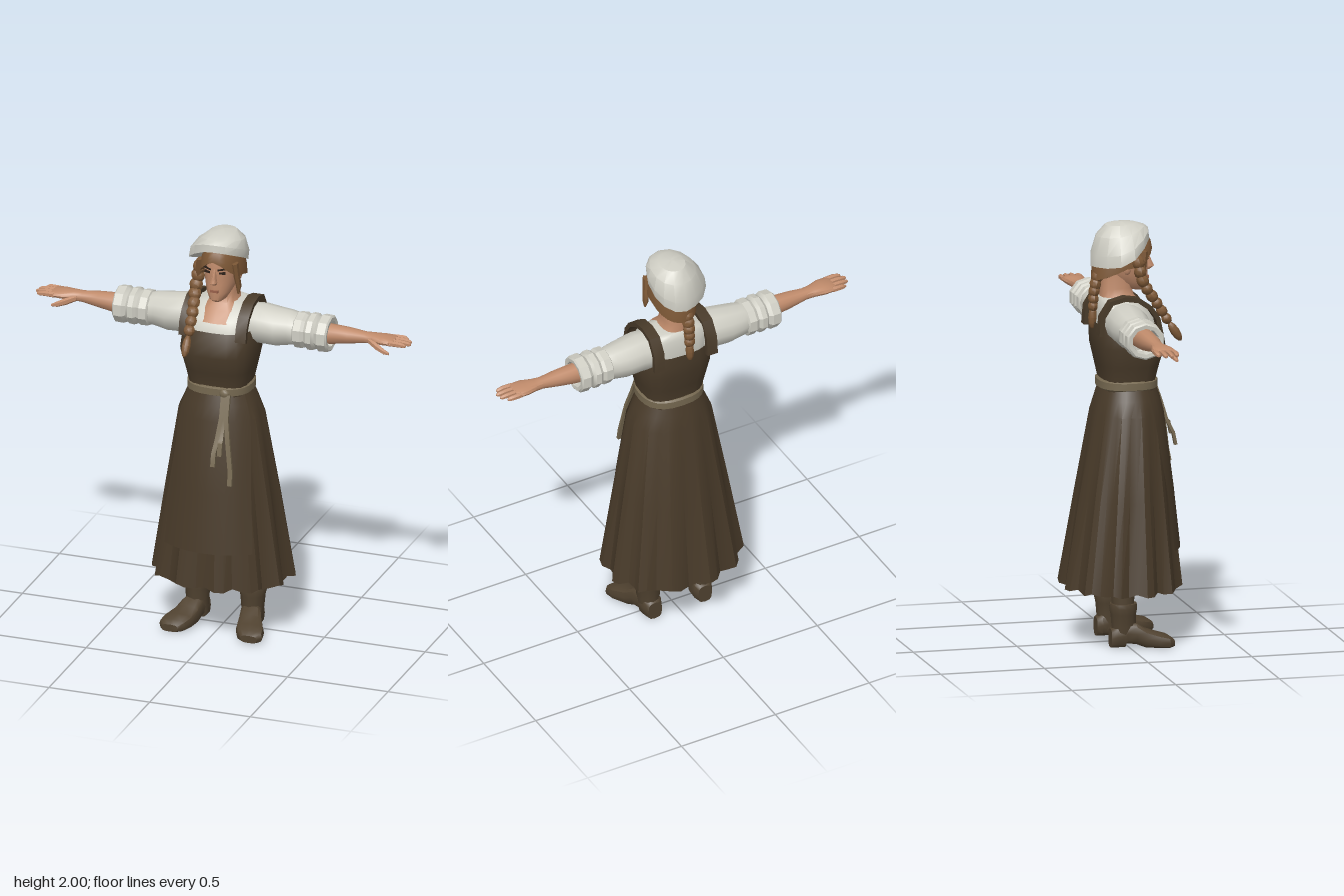
import * as THREE from 'three';
import { toCreasedNormals } from 'three/addons/utils/BufferGeometryUtils.js';

const mat = (name, color, side = THREE.FrontSide) => {
  const m = new THREE.MeshStandardMaterial({ color, side });
  m.name = name;
  return m;
};
const V = (x, y, z) => new THREE.Vector3(x, y, z);

// Skin a list of point rings; rings run counter-clockwise around the direction of travel
function skin(rings, caps = true, closed = true) {
  const n = rings[0].length, pos = [], idx = [];
  rings.flat().forEach(p => pos.push(p.x, p.y, p.z));
  for (let i = 0; i < rings.length - 1; i++)
    for (let j = 0; j < (closed ? n : n - 1); j++) {
      const a = i * n + j, b = i * n + (j + 1) % n;
      idx.push(a, b, b + n, a, b + n, a + n);
    }
  if (caps) [0, rings.length - 1].forEach((r, end) => {
    const c = rings[r].reduce((s, p) => s.add(p), V(0, 0, 0)).divideScalar(n);
    const k = pos.length / 3;
    pos.push(c.x, c.y, c.z);
    for (let j = 0; j < n; j++) {
      const a = r * n + j, b = r * n + (j + 1) % n;
      end ? idx.push(k, a, b) : idx.push(k, b, a);
    }
  });
  const g = new THREE.BufferGeometry();
  g.setAttribute('position', new THREE.Float32BufferAttribute(pos, 3));
  g.setIndex(idx);
  return g;
}

// Oval ring; p below 1 makes it squarer
const oval = (n, p, f) => Array.from({ length: n }, (_, j) => {
  const a = j / n * Math.PI * 2, q = v => Math.sign(v) * Math.abs(v) ** p;
  return f(q(Math.cos(a)), q(Math.sin(a)), j);
});
// Rows [y, halfWidth, frontZ, backZ, centreX], low to high
const loftY = (rows, n = 16, p = 1, caps = true, mod = v => v) =>
  skin(rows.map(([y, rx, zf, zb, cx = 0], i) => oval(n, p, (c, s, j) =>
    mod(V(cx + rx * s, y, (zf + zb) / 2 + (zf - zb) / 2 * c), i, j, c, s))), caps);
// Rows [x, centreY, centreZ, radiusY, radiusZ], inner to outer
const loftX = (rows, n = 12, p = 1, caps = true) =>
  skin(rows.map(([x, y, z, ry, rz]) => oval(n, p, (c, s) => V(x, y + ry * c, z + rz * s))), caps);
// Rows [z, centreX, halfWidth, topY, bottomY], back to front
const loftZ = (rows, n = 12, p = 0.65) =>
  skin(rows.map(([z, x, w, t, b]) => oval(n, p, (c, s) => V(x + w * c, (t + b) / 2 + (t - b) / 2 * s, z))));
// Flat band along a path, its width along x
function band(path, w, t) {
  const pts = path.map(p => V(...p));
  return skin(pts.map((p, i) => {
    const d = pts[Math.min(i + 1, pts.length - 1)].clone().sub(pts[Math.max(i - 1, 0)]).setX(0).normalize();
    const u = V(w / 2, 0, 0), v = V(0, d.z, -d.y).multiplyScalar(t / 2);
    return [[-1, -1], [1, -1], [1, 1], [-1, 1]].map(([a, b]) => p.clone().addScaledVector(u, a).addScaledVector(v, b));
  }));
}

export function createModel() {
  const model = new THREE.Group();
  const dress = mat('dress brown', 0x483a29, THREE.DoubleSide);
  const linen = mat('linen white', 0xcfcec4, THREE.DoubleSide);
  const flesh = mat('skin', 0xc08b6b);
  const hair = mat('hair brown', 0x7d5836, THREE.DoubleSide);
  const cord = mat('belt tan', 0x74674f);
  const leather = mat('boot leather', 0x504230);
  const dark = mat('eye dark', 0x2b2018);
  const lip = mat('lip', 0x99604a);

  const add = (name, geo, m, crease = 0.7, parent = model) => {
    const mesh = new THREE.Mesh(toCreasedNormals(geo, crease), m);
    mesh.name = name;
    parent.add(mesh);
    return mesh;
  };
  const pair = (name, geo, m, crease) => {
    const other = geo.clone().scale(-1, 1, 1);
    other.setIndex([...other.index.array].reverse());
    add(name + 'Left', geo, m, crease);
    add(name + 'Right', other, m, crease);
  };
  const ball = (x, y, z, rx, ry, rz) => new THREE.SphereGeometry(1, 10, 7).scale(rx, ry, rz).translate(x, y, z);

  // Pleated skirt and the ruffled underskirt inside it
  const skirtRows = [[0.27, 0.325, 0.265, -0.27], [0.7, 0.265, 0.225, -0.205], [1.1, 0.203, 0.185, -0.138],
    [1.17, 0.175, 0.17, -0.12], [1.24, 0.145, 0.15, -0.1]];
  const amount = [0.09, 0.055, 0.02, 0, 0], fold = [0, 1, 0.75, -0.2];
  const pleat = k => (v, i, j) => {
    const f = 1 + k * amount[i] * (fold[j % 4] - 0.35);
    return V(v.x * f, v.y + (i ? 0 : 0.012 * (j % 3 === 0)), v.z * f);
  };
  add('skirt', loftY(skirtRows, 48, 0.92, false, pleat(1)), dress, 0.4);
  add('underskirt', loftY([[0.3, 0.29, 0.235, -0.24], [0.7, 0.235, 0.2, -0.18]], 48, 1, false, pleat(1.8)), dress, 0.4);

  // Apron wrapped over the front of the skirt: [y, halfWidth, depth, half angle]
  const apron = [[0.46, 0.318, 0.274, 0.76], [0.75, 0.272, 0.244, 0.82], [1.1, 0.213, 0.2, 0.98], [1.17, 0.185, 0.182, 1], [1.24, 0.155, 0.158, 1]];
  add('apron', skin(apron.map(([y, rx, rz, a]) => Array.from({ length: 11 }, (_, j) => {
    const t = a * (j / 5 - 1);
    return V(rx * Math.sin(t), y, rz * Math.cos(t) ** 0.92);
  })), false, false), dress, 0.5);

  // Bodice with shoulder straps
  add('bodice', loftY([[1.2, 0.143, 0.152, -0.1], [1.26, 0.148, 0.155, -0.1], [1.33, 0.163, 0.172, -0.115],
    [1.42, 0.183, 0.2, -0.135], [1.48, 0.177, 0.19, -0.14], [1.535, 0.166, 0.166, -0.137]], 20, 0.68, false), dress);
  pair('strap', band([[0.14, 1.5, 0.15], [0.14, 1.56, 0.138], [0.14, 1.61, 0.105], [0.14, 1.652, 0.045],
    [0.14, 1.662, -0.02], [0.14, 1.645, -0.085], [0.14, 1.58, -0.127], [0.14, 1.49, -0.135]], 0.054, 0.022), dress);

  // Blouse body, sleeves and rolled cuffs
  add('blouse', loftY([[1.45, 0.16, 0.16, -0.12], [1.53, 0.158, 0.152, -0.126], [1.58, 0.16, 0.122, -0.124],
    [1.615, 0.155, 0.085, -0.118], [1.64, 0.125, 0.05, -0.11], [1.65, 0.085, 0.035, -0.1]], 20, 0.6), linen);
  pair('sleeve', loftX([[0.1, 1.54, -0.015, 0.095, 0.095], [0.2, 1.545, -0.015, 0.095, 0.1], [0.27, 1.538, -0.017, 0.092, 0.095],
    [0.33, 1.54, -0.02, 0.083, 0.085], [0.37, 1.538, -0.02, 0.076, 0.077]], 12, 1), linen);
  const roll = [[0.355, 0.07], [0.365, 0.086], [0.4, 0.087], [0.415, 0.078], [0.43, 0.09], [0.455, 0.088], [0.468, 0.077],
    [0.485, 0.09], [0.525, 0.088], [0.532, 0.08], [0.53, 0.062], [0.48, 0.056]];
  pair('cuff', loftX(roll.map(([x, r]) => [x, 1.537, -0.018, r, r * 1.06]), 10, 1, false), linen, 0.5);

  // Forearms, hands, fingers and thumbs
  pair('forearm', loftX([[0.4, 1.538, -0.015, 0.05, 0.05], [0.53, 1.54, -0.012, 0.047, 0.045], [0.62, 1.545, -0.012, 0.037, 0.04],
    [0.7, 1.548, -0.012, 0.026, 0.03], [0.74, 1.55, -0.012, 0.024, 0.036], [0.79, 1.552, -0.01, 0.021, 0.052],
    [0.84, 1.552, -0.01, 0.017, 0.054], [0.85, 1.552, -0.01, 0.011, 0.05]], 12, 0.85), flesh);
  [[-0.052, 0.9], [-0.024, 0.925], [0.004, 0.93], [0.031, 0.915]].forEach(([z, end], i) =>
    pair('finger' + (i + 1), loftX([[0.83, 1.552, z, 0.014, 0.0135], [0.88, 1.553, z * 1.05, 0.013, 0.013],
      [end - 0.01, 1.55, z, 0.011, 0.011], [end, 1.549, z, 0.005, 0.006]], 6), flesh));
  pair('thumb', loftX([[0.725, 1.545, 0.01, 0.016, 0.016], [0.77, 1.53, 0.036, 0.018, 0.016],
    [0.81, 1.515, 0.048, 0.014, 0.013], [0.838, 1.507, 0.05, 0.006, 0.007]], 6), flesh);

  // Neck, head and face
  add('neck', loftY([[1.57, 0.105, 0.136, -0.08], [1.62, 0.095, 0.094, -0.1], [1.65, 0.07, 0.062, -0.1],
    [1.69, 0.06, 0.05, -0.095], [1.78, 0.06, 0.05, -0.09]], 14, 0.75), flesh);
  add('head', loftY([[1.674, 0.022, 0.115, 0.06], [1.685, 0.04, 0.127, 0.015], [1.72, 0.06, 0.13, -0.04], [1.76, 0.071, 0.13, -0.08],
    [1.8, 0.077, 0.128, -0.1], [1.85, 0.081, 0.133, -0.11], [1.91, 0.076, 0.12, -0.11]], 16, 0.9), flesh);
  add('nose', loftY([[1.766, 0.011, 0.14, 0.11], [1.78, 0.017, 0.162, 0.11], [1.8, 0.011, 0.152, 0.11], [1.845, 0.008, 0.134, 0.11]], 8), flesh);
  add('mouth', new THREE.BoxGeometry(0.038, 0.011, 0.008).translate(0, 1.732, 0.129), lip);
  const plate = (w, h, y, z, tilt) => new THREE.BoxGeometry(w, h, 0.008).rotateZ(tilt).rotateY(0.3).translate(0.036, y, z);
  pair('eye', plate(0.03, 0.011, 1.826, 0.12, 0), dark);
  pair('eyebrow', plate(0.042, 0.008, 1.845, 0.122, 0.15), dark);
  pair('ear', ball(0.082, 1.79, 0.01, 0.012, 0.03, 0.02), flesh);

  // Parted hair: the lower edge drops from the forehead to the nape
  const heights = [0, 0, 0.25, 0.5, 0.75, 1];
  add('hair', skin(heights.map((t, i) => oval(24, 0.9, (c, s) => {
    const edge = c > 0 ? 1.885 - 0.095 * Math.abs(s) ** 1.6 : 1.79 + 0.06 * c;
    const r = i ? Math.max(0.05, Math.cos(t * Math.PI / 2)) ** 0.35 : 0.84;
    return V(0.104 * r * s, edge + (1.965 - edge) * t, 0.004 + 0.144 * r * c);
  }))), hair, 0.8);
  pair('lock', loftY([[1.715, 0.004, 0.082, 0.068, 0.1], [1.75, 0.012, 0.088, 0.05, 0.1], [1.8, 0.014, 0.1, 0.055, 0.094], [1.87, 0.014, 0.11, 0.06, 0.088]], 6), hair);

  // Braids: overlapping beads along a curve, ending in a pointed tuft
  const braid = (name, points, count, size) => {
    const group = new THREE.Group(), curve = new THREE.CatmullRomCurve3(points.map(p => V(...p)));
    group.name = name;
    for (let i = 0; i <= count; i++) {
      const t = i / count * 0.8, tuft = i === count;
      const r = size * (1 - 0.3 * t);
      const geo = tuft ? new THREE.SphereGeometry(1, 8, 6).scale(r * 0.8, 0.055, r * 0.8)
        : new THREE.SphereGeometry(1, 8, 6).scale(r, r * 1.05, r * 0.9).rotateZ(i % 2 ? 0.4 : -0.4);
      const bead = add(tuft ? 'braidTuft' : 'braidBead', geo, hair, 0.8, group);
      bead.position.copy(curve.getPointAt(tuft ? 0.87 : t));
      bead.quaternion.setFromUnitVectors(V(0, -1, 0), curve.getTangentAt(t));
    }
    model.add(group);
  };
  braid('frontBraid', [[-0.095, 1.82, 0.06], [-0.108, 1.73, 0.08], [-0.1, 1.62, 0.15], [-0.1, 1.53, 0.205], [-0.1, 1.435, 0.268]], 8, 0.035);
  braid('backBraid', [[-0.015, 1.78, -0.105], [-0.02, 1.7, -0.13], [-0.02, 1.62, -0.138], [-0.02, 1.52, -0.142]], 6, 0.034);

  // Soft cap, tilted down at the back and slouching to one side
  const slope = [0.48, 0.48, 0.42, 0.2, 0.04, 0], slouch = [0.04, 0.06, 0.045, 0.015, 0, 0];
  add('cap', loftY([[1.87, 0.098, 0.125, -0.132], [1.866, 0.11, 0.136, -0.146], [1.91, 0.116, 0.132, -0.144], [1.96, 0.1, 0.112, -0.118],
    [1.991, 0.062, 0.072, -0.075], [2, 0.012, 0.014, -0.014]], 14, 0.95, true, (v, i, j, c, s) => {
    const k = Math.max(0, -s) ** 3 * slouch[i];
    return V(v.x - k, v.y + v.z * slope[i] - k * 0.6, v.z);
  }), linen, 0.55);

  // Belt with a knot and hanging ends
  add('belt', loftY([[1.215, 0.148, 0.155, -0.105], [1.222, 0.158, 0.168, -0.114], [1.255, 0.157, 0.167, -0.113], [1.262, 0.148, 0.155, -0.105]], 24, 0.8), cord);
  add('beltKnot', ball(0.065, 1.237, 0.168, 0.025, 0.024, 0.016), cord);
  [[0.062, 0.048, 0.91, 0.278], [0.072, 0.075, 0.96, 0.262], [0.085, 0.128, 0.82, 0.27]].forEach(([x0, x1, y1, z1], i) => {
    const mid = (x0 + x1) / 2;
    add('beltEnd' + (i + 1), band([[x0, 1.235, 0.17], [x0 + 0.004, 1.13, 0.208], [mid, 1.03, 0.236], [x1, y1 + 0.06, z1 - 0.012], [x1, y1, z1]], 0.022, 0.014), cord);
  });

  // Stockinged legs and boots, toes turned out
  pair('leg', loftY([[0.15, 0.05, 0.025, -0.075, 0.137], [0.3, 0.056, 0.035, -0.085, 0.134], [0.6, 0.068, 0.06, -0.08, 0.12]], 12), leather);
  pair('bootShaft', loftY([[0.03, 0.048, 0.03, -0.078, 0.134], [0.1, 0.054, 0.038, -0.08, 0.137], [0.16, 0.06, 0.038, -0.085, 0.137],
    [0.19, 0.068, 0.044, -0.092, 0.137], [0.21, 0.064, 0.04, -0.088, 0.137]], 12), leather);
  pair('bootFoot', loftZ([[-0.085, 0.133, 0.036, 0.09, 0], [-0.06, 0.134, 0.048, 0.11, 0], [-0.022, 0.137, 0.05, 0.125, 0],
    [-0.015, 0.138, 0.05, 0.125, 0.018], [0.03, 0.146, 0.053, 0.12, 0.014], [0.07, 0.158, 0.06, 0.092, 0],
    [0.13, 0.178, 0.07, 0.072, 0], [0.175, 0.191, 0.064, 0.06, 0], [0.2, 0.196, 0.04, 0.042, 0.006]]), leather);
  return model;
}
